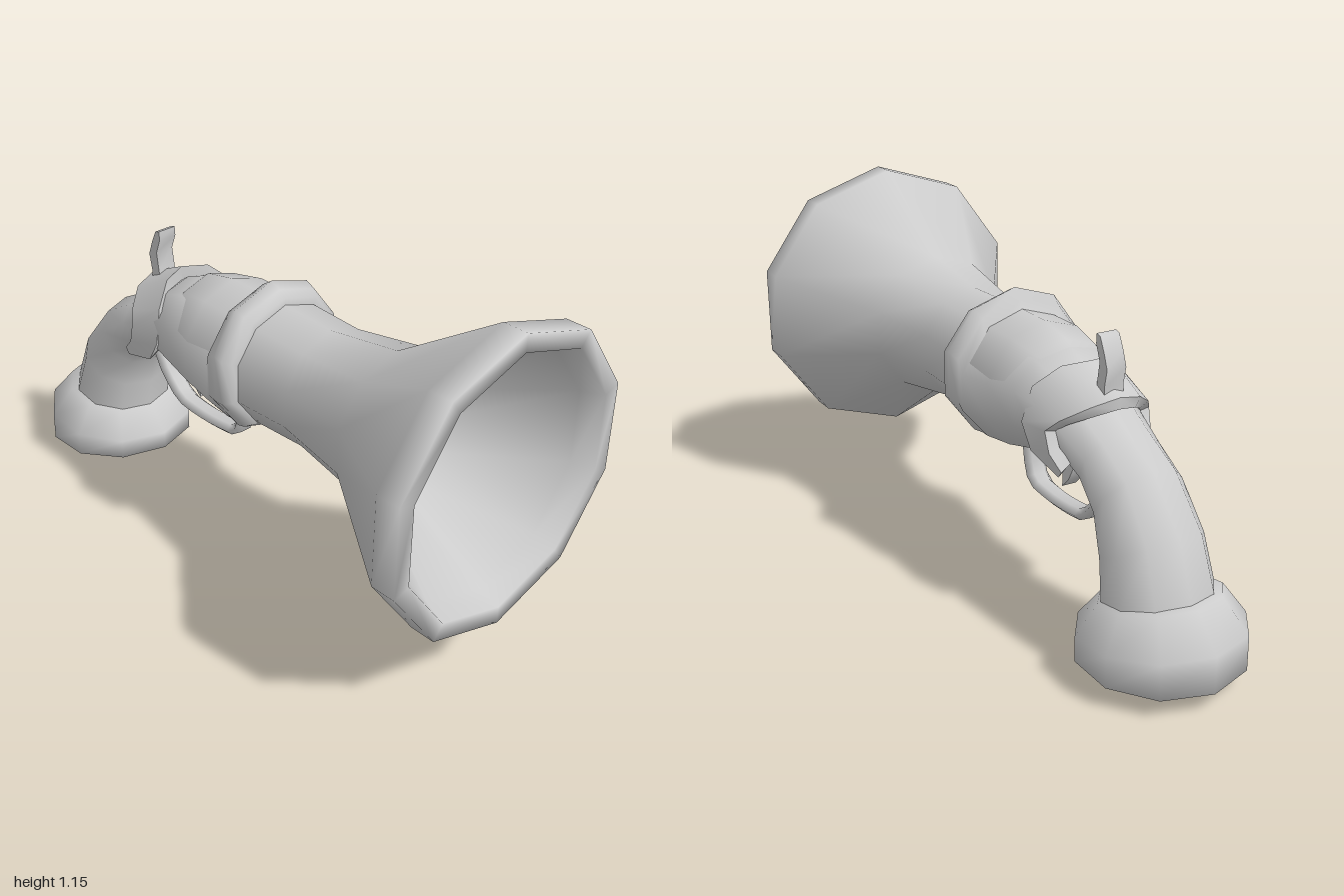
import * as THREE from 'three';
import { toCreasedNormals } from 'three/addons/utils/BufferGeometryUtils.js';

const SIDES = 10;
const material = new THREE.MeshStandardMaterial({ color: 0xcccccc, side: THREE.DoubleSide });

function part(name, geometry) {
  const mesh = new THREE.Mesh(geometry, material);
  mesh.name = name;
  return mesh;
}

// Skin over a row of closed rings of [x, y, z] points, capped at both ends
function loft(rings) {
  const n = rings[0].length, last = (rings.length - 1) * n, index = [];
  for (let i = 0; i < rings.length - 1; i++) {
    for (let j = 0; j < n; j++) {
      const a = i * n + j, b = i * n + (j + 1) % n;
      index.push(a, a + n, b, b, a + n, b + n);
    }
  }
  for (let j = 1; j < n - 1; j++) {
    index.push(0, j, j + 1, last, last + j + 1, last + j);
  }
  const g = new THREE.BufferGeometry();
  g.setAttribute('position', new THREE.Float32BufferAttribute(rings.flat(2), 3));
  g.setIndex(index);
  g.computeVertexNormals();
  return g;
}

// Ten-sided oval body; each station is back x, y, belly x, y, half width
function ovalBody(stations) {
  return loft(stations.map(([ux, uy, lx, ly, w]) => {
    const ring = [];
    for (let j = 0; j < SIDES; j++) {
      const a = j / SIDES * Math.PI * 2, t = (1 - Math.cos(a)) / 2;
      ring.push([ux + (lx - ux) * t, uy + (ly - uy) * t, Math.sin(a) * w / 0.951]);
    }
    return ring;
  }));
}

// Flat side outline given thickness across z
function plate(points, width) {
  const shape = new THREE.Shape(points.map(p => new THREE.Vector2(p[0], p[1])));
  const g = new THREE.ExtrudeGeometry(shape, { depth: width, bevelEnabled: false });
  g.translate(0, 0, -width / 2);
  return toCreasedNormals(g, 0.9);
}

export function createModel() {
  const model = new THREE.Group();
  model.name = 'blunderbuss';

  // Barrel with flared, hollow mouth; its rear end shows along the top of the stock
  const barrelProfile = [
    [0, -0.36], [0.1, -0.34], [0.175, -0.24], [0.2, -0.12], [0.2, 0.1], [0.193, 0.31],
    [0.235, 0.57], [0.466, 0.92], [0.466, 1], [0.41, 1], [0.385, 0.93], [0.17, 0.58], [0, 0.54],
  ].map(p => new THREE.Vector2(p[0], p[1]));
  const barrel = new THREE.LatheGeometry(barrelProfile, SIDES, Math.PI / 2);
  barrel.rotateZ(-Math.PI / 2).translate(0, 0.683, 0);
  model.add(part('barrel', barrel));

  // Stock with a collar swelling around the barrel, running into the curved grip
  const stock = ovalBody([
    [0.115, 0.87, 0.115, 0.5, 0.18],
    [0.115, 0.905, 0.115, 0.475, 0.212],
    [0.09, 0.925, 0.09, 0.457, 0.232],
    [0.055, 0.942, 0.065, 0.449, 0.234],
    [0.015, 0.915, 0.02, 0.455, 0.222],
    [0.005, 0.845, 0, 0.458, 0.217],
    [-0.12, 0.85, -0.12, 0.47, 0.2],
    [-0.24, 0.85, -0.25, 0.503, 0.183],
    [-0.34, 0.81, -0.32, 0.525, 0.163],
    [-0.45, 0.73, -0.41, 0.525, 0.14],
    [-0.56, 0.672, -0.49, 0.485, 0.13],
    [-0.69, 0.6, -0.55, 0.41, 0.137],
    [-0.82, 0.44, -0.565, 0.32, 0.152],
    [-0.88, 0.28, -0.575, 0.22, 0.163],
    [-0.89, 0.2, -0.58, 0.17, 0.163],
  ]);
  model.add(part('stockAndGrip', stock));

  // Rounded butt at the foot of the grip
  const butt = ovalBody([
    [-0.82, 0.275, -0.64, 0.235, 0.09],
    [-0.91, 0.275, -0.57, 0.22, 0.18],
    [-1, 0.175, -0.5, 0.135, 0.243],
    [-1, 0.06, -0.5, 0.075, 0.243],
    [-0.89, 0.005, -0.6, 0.017, 0.15],
    [-0.8, 0, -0.69, 0.01, 0.06],
  ]);
  model.add(part('buttCap', butt));

  // Lock saddle draped over the stock: rear x, y, front x, y, z
  const half = [
    [-0.475, 0.555, -0.46, 0.535, 0.165],
    [-0.43, 0.6, -0.33, 0.575, 0.178],
    [-0.412, 0.665, -0.285, 0.65, 0.182],
    [-0.445, 0.7, -0.3, 0.76, 0.155],
    [-0.5, 0.745, -0.345, 0.822, 0.085],
  ];
  const saddleStations = [
    ...half.map(s => [s[0], s[1], s[2], s[3], -s[4]]),
    [-0.52, 0.765, -0.375, 0.833, 0],
    ...half.slice().reverse(),
  ];
  const inset = y => 0.64 + (y - 0.64) * 0.72;
  const saddle = loft(saddleStations.map(([rx, ry, fx, fy, z]) => [
    [rx, ry, z], [fx, fy, z], [fx, inset(fy), z * 0.8], [rx, inset(ry), z * 0.8],
  ]));
  model.add(part('lockSaddle', toCreasedNormals(saddle, 0.8)));

  // Hammer
  model.add(part('hammer', plate([
    [-0.49, 0.74], [-0.445, 0.74], [-0.452, 0.8], [-0.462, 0.86], [-0.443, 0.91],
    [-0.445, 0.94], [-0.463, 0.935], [-0.484, 0.89], [-0.5, 0.845], [-0.488, 0.79],
  ], 0.065)));

  // Trigger
  model.add(part('trigger', plate([
    [-0.33, 0.53], [-0.325, 0.48], [-0.3, 0.435], [-0.265, 0.4],
    [-0.265, 0.45], [-0.25, 0.49], [-0.24, 0.53],
  ], 0.05)));

  // Trigger guard, a flattened bent rod
  const guardPath = new THREE.CatmullRomCurve3([
    [-0.5, 0.51], [-0.45, 0.418], [-0.365, 0.342], [-0.23, 0.33], [-0.1, 0.343], [-0.068, 0.395], [-0.05, 0.5],
  ].map(p => new THREE.Vector3(p[0], p[1], 0)), false, 'catmullrom', 0.3);
  const guard = new THREE.TubeGeometry(guardPath, 14, 0.021, 6, false).scale(1, 1, 1.8);
  model.add(part('triggerGuard', guard));

  return model;
}
